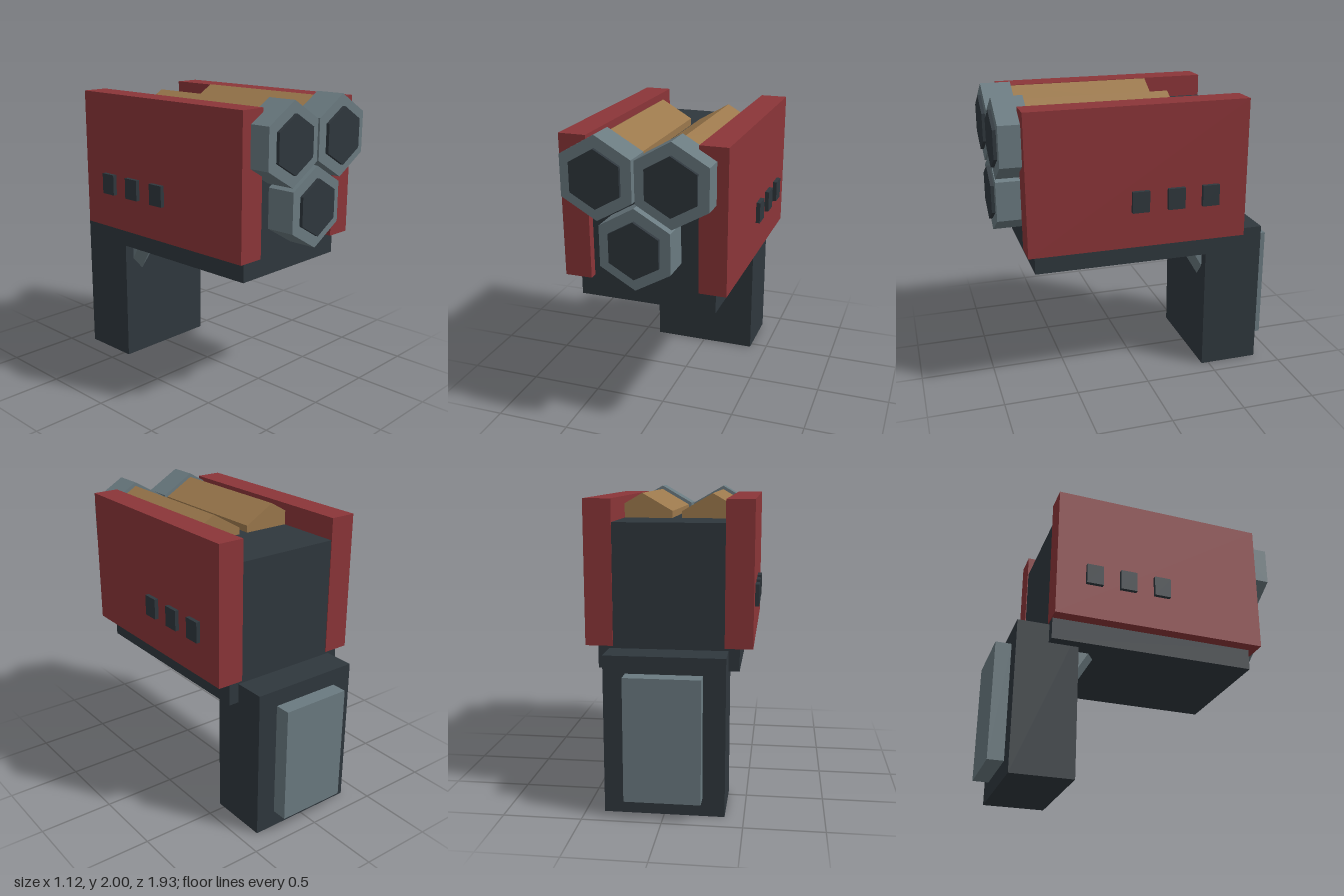
import * as THREE from 'three';

export function createModel() {
  const model = new THREE.Group();
  model.name = 'launcherModule';

  const mat = (name, color) => {
    const m = new THREE.MeshStandardMaterial({ color, flatShading: true });
    m.name = name;
    return m;
  };
  const dark = mat('charcoal', 0x2f373d);
  const red = mat('red', 0x8b3538);
  const grey = mat('steelGrey', 0x6a7a80);
  const tan = mat('tan', 0x9b784c);

  const add = (name, geometry, material) => {
    const mesh = new THREE.Mesh(geometry, material);
    mesh.name = name;
    model.add(mesh);
    return mesh;
  };
  // Box given by its lower and upper limits on each axis
  const box = (name, material, [x0, x1], [y0, y1], [z0, z1]) =>
    add(name, new THREE.BoxGeometry(x1 - x0, y1 - y0, z1 - z0), material)
      .position.set((x0 + x1) / 2, (y0 + y1) / 2, (z0 + z1) / 2);
  // Hexagonal prism along z, with a corner pointing up
  const hex = (name, material, r, x, y, z0, z1) => {
    const g = new THREE.CylinderGeometry(r, r, z1 - z0, 6).rotateX(Math.PI / 2);
    add(name, g, material).position.set(x, y, (z0 + z1) / 2);
  };

  // Housing and its wider base
  box('housing', dark, [-0.358, 0.358], [0.95, 1.81], [-0.65, 0.75]);
  box('base', dark, [-0.45, 0.45], [0.885, 1.03], [-0.65, 0.75]);

  // Rear grip with back plate
  box('grip', dark, [-0.38, 0.38], [0, 1.015], [-0.86, -0.45]);
  box('backPlate', grey, [-0.24, 0.24], [0.115, 0.905], [-0.965, -0.86]);

  for (const s of [-1, 1]) {
    const side = s > 0 ? 'left' : 'right';
    const span = (a, b) => (s > 0 ? [a, b] : [-b, -a]);

    // Armour panel with three studs
    box(side + 'Panel', red, span(0.355, 0.533), [1.03, 1.955], [-0.655, 0.805]);
    for (const z of [0.075, -0.165, -0.4])
      box(side + 'Stud', dark, span(0.52, 0.56), [1.27, 1.41], [z - 0.057, z + 0.057]);

    // Slanted hexagonal brace between base and grip
    const brace = add(side + 'Brace', new THREE.CylinderGeometry(0.092, 0.092, 0.4, 6), grey);
    brace.position.set(s * 0.23, 0.8, -0.468);
    brace.rotation.x = 0.537;
  }

  // Three hexagonal tubes with muzzle collars and dark bores
  for (const [x, y] of [[-0.236, 1.738], [0.236, 1.738], [0, 1.318]]) {
    hex('tube', tan, 0.236, x, y, -0.2, 0.76);
    hex('muzzleCollar', grey, 0.262, x, y, 0.745, 0.943);
    hex('bore', dark, 0.184, x, y, 0.93, 0.965);
  }

  return model;
}
